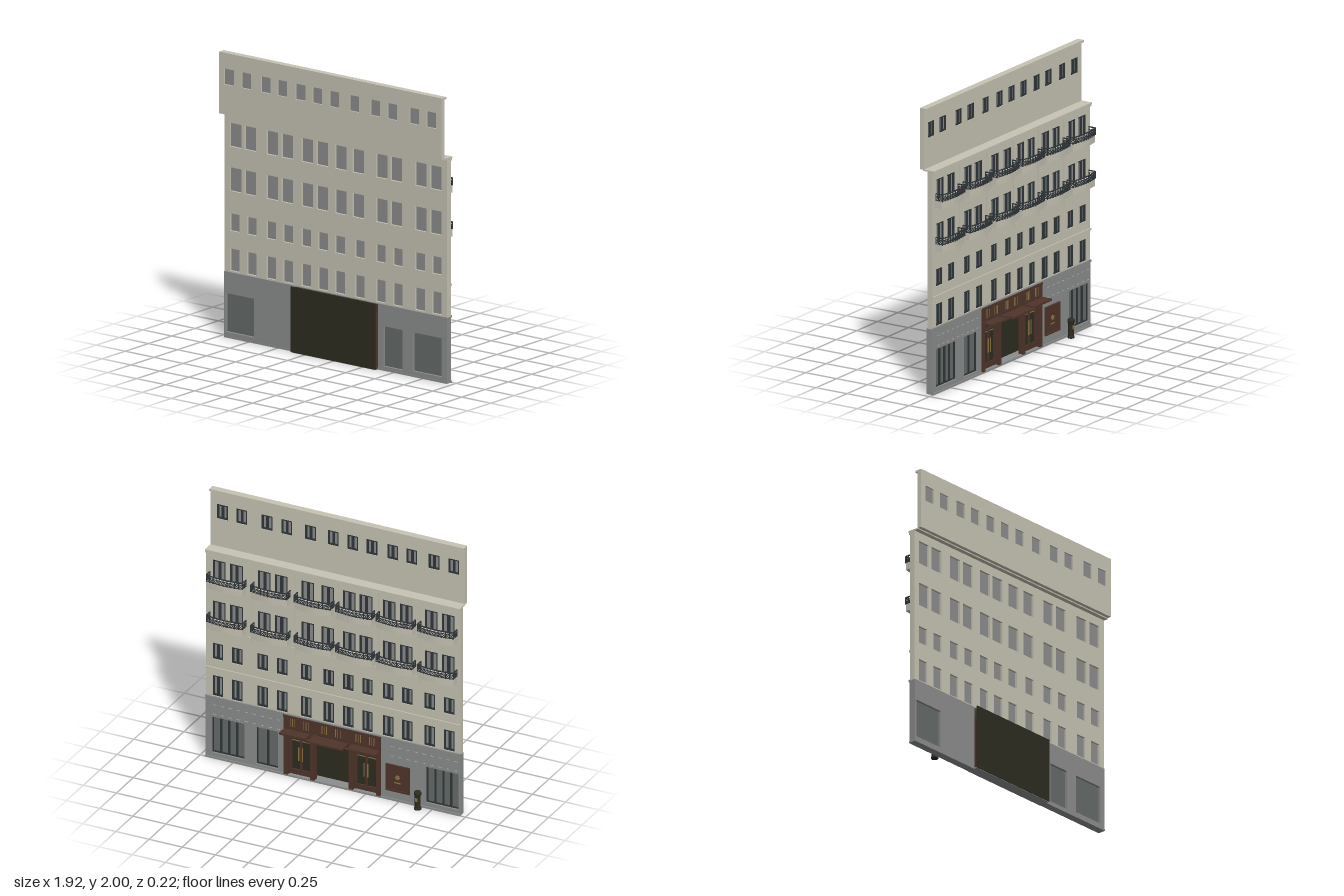
import * as THREE from 'three';
import { mergeGeometries } from 'three/addons/utils/BufferGeometryUtils.js';

const mat = (name, color, side = THREE.FrontSide) => {
  const m = new THREE.MeshStandardMaterial({ color, side });
  m.name = name;
  return m;
};

export function createModel() {
  const root = new THREE.Group();
  root.name = 'buildingFacade';
  const plaster = mat('plaster', 0xc7c3b4);
  const stone = mat('grey stone', 0x8c8d8d);
  const pane = mat('window glass', 0x8b8d8b);
  const shopGlass = mat('shop glass', 0x656b69);
  const iron = mat('dark iron', 0x30363a);
  const wood = mat('brown wood', 0x50352b);
  const dark = mat('dark panel', 0x2d2c20);
  const gold = mat('gold trim', 0x8f7443);
  const pale = mat('pale trim', 0xb4b4b0);

  const add = (name, geo, material, parent = root) => {
    const m = new THREE.Mesh(geo, material);
    m.name = name;
    parent.add(m);
    return m;
  };
  // box geometry from its limits
  const box = (x0, x1, y0, y1, z0, z1) =>
    new THREE.BoxGeometry(x1 - x0, y1 - y0, z1 - z0)
      .translate((x0 + x1) / 2, (y0 + y1) / 2, (z0 + z1) / 2);
  // square bar between two points
  const bar = (a, b, t) => {
    const d = new THREE.Vector3().subVectors(b, a);
    const g = new THREE.BoxGeometry(t, d.length(), t);
    g.applyQuaternion(new THREE.Quaternion().setFromUnitVectors(
      new THREE.Vector3(0, 1, 0), d.clone().normalize()));
    return g.translate((a.x + b.x) / 2, (a.y + b.y) / 2, (a.z + b.z) / 2);
  };
  const rect = (C, x0, x1, y0, y1) => {
    const s = new C();
    s.moveTo(x0, y0); s.lineTo(x1, y0); s.lineTo(x1, y1); s.lineTo(x0, y1); s.closePath();
    return s;
  };
  // wall slab pierced by rectangular holes [x0, x1, y0, y1]
  const wall = (name, y0, y1, z0, z1, holes, material) => {
    const s = rect(THREE.Shape, -0.96, 0.96, y0, y1);
    holes.forEach(h => s.holes.push(rect(THREE.Path, ...h)));
    const g = new THREE.ExtrudeGeometry(s, { depth: z1 - z0, bevelEnabled: false });
    add(name, g.translate(0, 0, z0), material);
  };
  // glass with an outside frame split into n leaves
  const glaze = (name, h, z, n, t, glass) => {
    const [x0, x1, y0, y1] = h;
    const grp = new THREE.Group();
    grp.name = name;
    root.add(grp);
    add('glass', box(x0, x1, y0, y1, z, z + 0.006), glass, grp);
    const parts = [box(x0, x1, y0, y0 + t, z - 0.01, z), box(x0, x1, y1 - t, y1, z - 0.01, z)];
    for (let i = 0; i <= n; i++) {
      const c = x0 + t / 2 + (x1 - x0 - t) * i / n;
      const w = i > 0 && i < n ? t * 0.75 : t / 2;
      parts.push(box(c - w, c + w, y0, y1, z - 0.01, z));
    }
    add('frame', mergeGeometries(parts), iron, grp);
  };

  // window columns and rows
  const narrow = [-0.873, -0.725, -0.558, -0.413, -0.257, -0.111, 0.035, 0.206, 0.386, 0.534, 0.725, 0.87];
  const wide = [-0.865, -0.738, -0.55, -0.42, -0.246, -0.119, 0.042, 0.193, 0.394, 0.521, 0.73, 0.86];
  const row = (xs, w, y0, y1) => xs.map(x => [x - w / 2, x + w / 2, y0, y1]);
  const attic = row(narrow, 0.083, 1.78, 1.89);
  const main = [
    ...row(wide, 0.1, 1.335, 1.5), ...row(wide, 0.1, 1.025, 1.19),
    ...row(narrow, 0.083, 0.748, 0.87), ...row(narrow, 0.083, 0.47, 0.625)];
  const shops = [[-0.947, -0.7, 0.04, 0.31], [0.413, 0.58, 0.03, 0.31], [0.667, 0.915, 0.04, 0.31]];

  wall('atticWall', 1.57, 2, 0.073, 0.105, attic, plaster);
  wall('mainWall', 0.46, 1.565, 0.005, 0.045, main, plaster);
  wall('groundWall', 0, 0.46, 0.003, 0.05, [...shops, [-0.36, 0.365, 0.005, 0.455]], stone);
  attic.forEach(h => glaze('atticWindow', h, 0.088, 2, 0.011, pane));
  main.forEach(h => glaze('window', h, 0.023, 2, 0.012, pane));
  shops.forEach((h, i) => glaze('shopWindow', h, 0.026, i === 1 ? 2 : 4, 0.008, shopGlass));

  // cornices and string courses on the street side
  add('roofCornice', box(-0.96, 0.96, 1.985, 2, 0.055, 0.074), plaster);
  add('terraceLedge', box(-0.96, 0.96, 1.562, 1.572, -0.01, 0.078), plaster);
  add('corniceMoulding', box(-0.96, 0.96, 1.545, 1.562, -0.004, 0.006), plaster);
  add('middleCourse', box(-0.96, 0.96, 0.673, 0.688, -0.004, 0.006), plaster);
  add('lowerCourse', box(-0.96, 0.96, 0.452, 0.468, -0.006, 0.006), stone);
  add('plinth', box(-0.96, 0.96, 0, 0.012, -0.005, 0.052), stone);

  // pilasters with a bracket at the foot
  for (const x of [-0.643, -0.333, -0.03, 0.292, 0.623]) {
    add('pilaster', box(x - 0.012, x + 0.012, 0.96, 1.545, -0.005, 0.006), plaster);
    add('pilasterBracket', box(x - 0.014, x + 0.014, 0.935, 0.985, -0.012, 0.006), plaster);
  }

  // bowed balconies
  const N = 10, W = 0.136;
  const bow = Array.from({ length: N + 1 }, (_, i) => {
    const u = i / N * 2 - 1;
    return [u * W, 0.055 + 0.015 * (1 - Math.abs(u) ** 1.5)];
  });
  const plan = new THREE.Shape();
  plan.moveTo(-W, -0.006);
  plan.lineTo(W, -0.006);
  [...bow].reverse().forEach(p => plan.lineTo(p[0], p[1] - 0.003));
  const slabGeo = new THREE.ExtrudeGeometry(plan, { depth: 0.052, bevelEnabled: false }).rotateX(-Math.PI / 2);
  const path = [[-W, 0], [-W, 0.028], ...bow, [W, 0.028], [W, 0]];
  const rails = [];
  const at = (p, y) => new THREE.Vector3(p[0], y, -p[1]);
  for (let i = 0; i < path.length; i++) {
    const a = path[i], b = path[i + 1];
    rails.push(bar(at(a, 0.05), at(a, 0.102), 0.004));
    if (!b) break;
    rails.push(bar(at(a, 0.1), at(b, 0.1), 0.007), bar(at(a, 0.084), at(b, 0.084), 0.004),
      bar(at(a, 0.056), at(b, 0.056), 0.005),
      bar(at(a, 0.056), at(b, 0.084), 0.004), bar(at(a, 0.084), at(b, 0.056), 0.004));
  }
  const railGeo = mergeGeometries(rails);
  for (const y of [1.0, 1.306])
    for (const x of [-0.8, -0.487, -0.182, 0.128, 0.456, 0.79]) {
      const b = new THREE.Group();
      b.name = 'balcony';
      b.position.set(x, y, 0);
      add('balconySlab', slabGeo, plaster, b);
      add('balconyRailing', railGeo, iron, b);
      root.add(b);
    }

  // entrance: recess, header and posts
  add('entranceBack', box(-0.362, 0.367, 0.003, 0.46, 0.074, 0.08), dark);
  for (const x of [-0.36, 0.353]) add('recessSide', box(x, x + 0.012, 0.003, 0.385, 0.0, 0.075), wood);
  add('recessCeiling', box(-0.35, 0.355, 0.36, 0.37, 0.003, 0.075), wood);
  add('entranceHeader', box(-0.36, 0.365, 0.36, 0.455, -0.004, 0.02), wood);
  add('headerMoulding', box(-0.365, 0.37, 0.445, 0.46, -0.01, 0.004), wood);
  add('doorStep', box(-0.36, 0.365, 0, 0.01, -0.008, 0.075), stone);
  for (const x of [-0.345, -0.14, 0.152, 0.35])
    add('entrancePost', box(x - 0.016, x + 0.016, 0.01, 0.45, -0.008, 0.03), wood);
  for (const c of [-0.245, 0.01, 0.25])
    for (let i = -4; i <= 4; i++)
      if (Math.abs(i) > 1)
        add('headerFlute', box(c + i * 0.017 - 0.002, c + i * 0.017 + 0.002, 0.378, 0.438, -0.007, -0.004), gold);

  // side doors
  for (const [x0, x1] of [[-0.329, -0.156], [0.168, 0.334]]) {
    const m = (x0 + x1) / 2;
    add('doorGlass', box(x0, x1, 0.01, 0.36, 0.03, 0.036), dark);
    for (const x of [x0 + 0.007, m, x1 - 0.007])
      add('doorStile', box(x - 0.007, x + 0.007, 0.01, 0.36, 0.018, 0.03), wood);
    for (const y of [0.01, 0.28, 0.345])
      add('doorRail', box(x0, x1, y, y + (y < 0.1 ? 0.04 : 0.014), 0.02, 0.03), wood);
    for (const x of [m - 0.014, m + 0.014])
      add('doorHandle', box(x - 0.003, x + 0.003, 0.12, 0.22, 0.012, 0.018), gold);
    add('doorGoldLine', box(x0 + 0.014, x1 - 0.014, 0.262, 0.267, 0.026, 0.03), gold);
  }
  add('centreGoldLine', box(-0.11, 0.12, 0.262, 0.266, 0.071, 0.074), gold);

  // flat canopies over the three bays
  for (const [x0, x1, z] of [[-0.36, -0.145, -0.083], [-0.125, 0.145, -0.108], [0.165, 0.362, -0.083]]) {
    add('canopy', box(x0, x1, 0.348, 0.354, z, 0), wood);
    add('canopyEdge', box(x0 - 0.002, x1 + 0.002, 0.344, 0.358, z - 0.002, z + 0.006), wood);
    for (const x of [x0, x1 - 0.005])
      add('canopyArm', box(x, x + 0.005, 0.344, 0.358, z, 0), wood);
  }

  // framed wall panel with a gold ornament
  add('panelBoard', box(-0.575, -0.405, 0.075, 0.265, -0.003, 0.004), wood);
  for (const [a, b, c, d] of [[-0.58, -0.4, 0.07, 0.084], [-0.58, -0.4, 0.256, 0.27],
    [-0.58, -0.566, 0.07, 0.27], [-0.414, -0.4, 0.07, 0.27]])
    add('panelFrame', box(a, b, c, d, -0.009, 0.004), wood);
  add('panelOrnament', new THREE.CylinderGeometry(0.017, 0.017, 0.004, 12)
    .rotateX(Math.PI / 2).translate(-0.49, 0.18, -0.005), gold);
  add('panelOrnamentBar', box(-0.515, -0.465, 0.135, 0.142, -0.006, -0.003), gold);

  // pale dashes in the stonework
  for (const y of [0.33, 0.4])
    for (const [a, b] of [[-0.94, -0.39], [0.4, 0.94]])
      for (let x = a; x < b - 0.03; x += 0.06)
        add('stoneDash', box(x, x + 0.025, y, y + 0.004, 0.001, 0.004), pale);

  // litter bin on the pavement
  const profile = [[0, 0], [0.025, 0], [0.025, 0.012], [0.02, 0.018], [0.02, 0.105], [0.026, 0.112],
    [0.026, 0.125], [0.018, 0.136], [0, 0.138]].map(p => new THREE.Vector2(...p));
  add('litterBin', new THREE.LatheGeometry(profile, 16).toNonIndexed().translate(-0.66, 0, -0.04), dark)
    .geometry.computeVertexNormals();
  add('binBadge', box(-0.668, -0.652, 0.065, 0.09, -0.063, -0.058), gold);

  return root;
}
